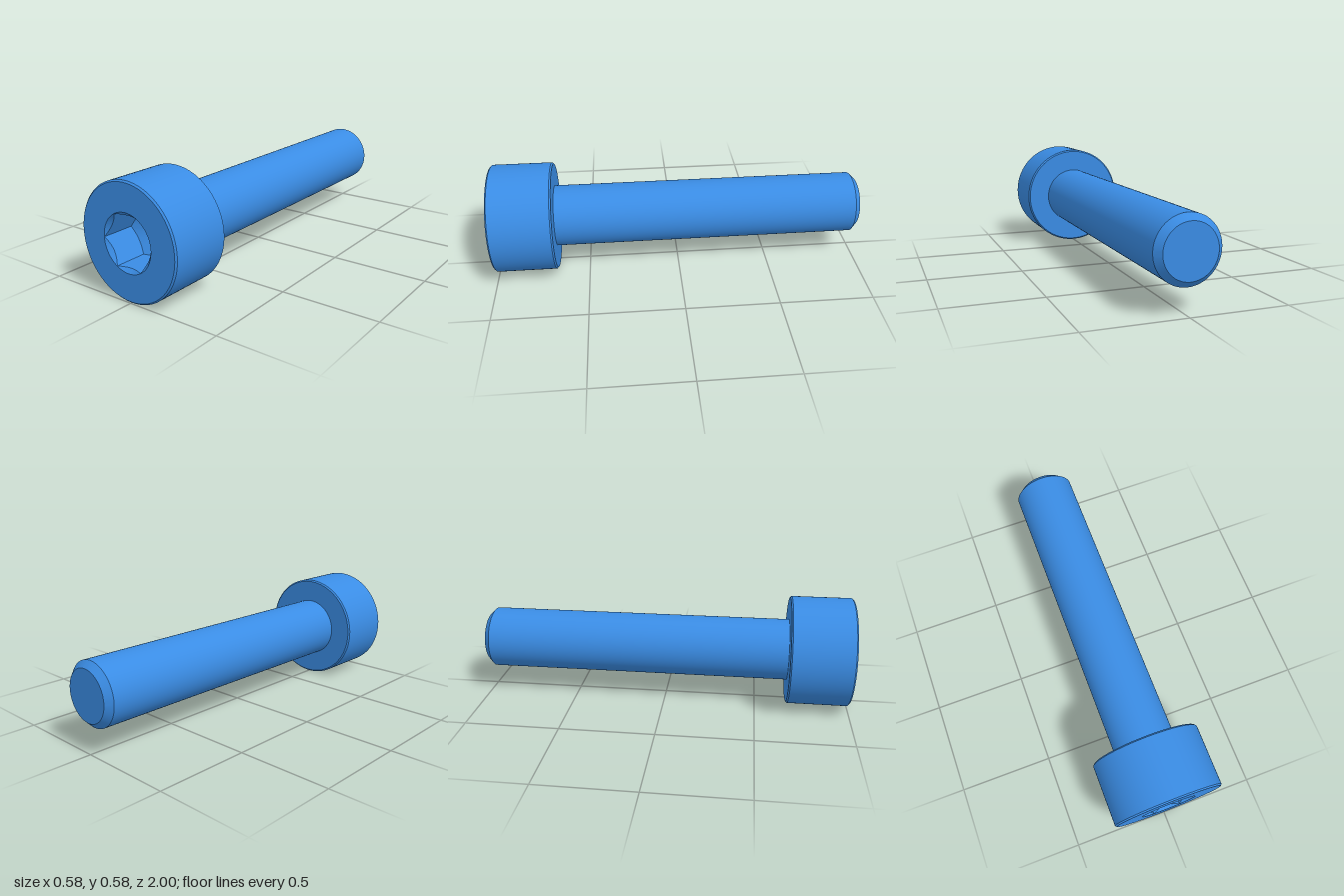
import * as THREE from 'three';
import { toCreasedNormals } from 'three/addons/utils/BufferGeometryUtils.js';

const AXIS_Y = 0.292;   // height of the bolt axis
const SEGMENTS = 96;    // multiple of 6, so the hexagon corners are exact
const RIM = 0.1455;     // round mouth of the socket
const HEX = 0.145;      // corner radius of the hexagon

// Turned part about the z axis; points are [radius, z] from back to front
function turned(points) {
  const profile = points.map(([r, z]) => new THREE.Vector2(r, z));
  const geometry = new THREE.LatheGeometry(profile, SEGMENTS).rotateX(Math.PI / 2);
  return toCreasedNormals(geometry, 0.3);
}

// Hexagonal recess: countersunk mouth, flat walls and drilled cone floor
function socketGeometry() {
  const hexRadius = (a) => {
    const sector = Math.PI / 3;
    return HEX * Math.cos(sector / 2) / Math.cos((a % sector) - sector / 2);
  };
  const floorZ = (r) => 0.833 - (HEX - r) * Math.tan(Math.PI / 6);
  const rings = [
    () => [RIM, 1],
    (a) => [hexRadius(a), 1 - (RIM - hexRadius(a))],
    (a) => [hexRadius(a), floorZ(hexRadius(a))],
    () => [0.013, floorZ(0.013)],
    () => [0, floorZ(0.013)],
  ];
  const point = (ring, i) => {
    const a = ((i % SEGMENTS) / SEGMENTS) * Math.PI * 2;
    const [r, z] = ring(a);
    return [r * Math.cos(a), r * Math.sin(a), z];
  };
  const positions = [];
  for (let k = 0; k < rings.length - 1; k++) {
    for (let i = 0; i < SEGMENTS; i++) {
      const a = point(rings[k], i), b = point(rings[k], i + 1);
      const c = point(rings[k + 1], i), d = point(rings[k + 1], i + 1);
      positions.push(...a, ...b, ...c);
      if (k < rings.length - 2) positions.push(...b, ...d, ...c);
    }
  }
  const geometry = new THREE.BufferGeometry();
  geometry.setAttribute('position', new THREE.Float32BufferAttribute(positions, 3));
  return toCreasedNormals(geometry, 0.3);
}

export function createModel() {
  const blue = new THREE.MeshStandardMaterial({ color: 0x3a8ce4 });
  blue.name = 'blue';

  const bolt = new THREE.Group();
  bolt.name = 'socketHeadBolt';
  const add = (name, geometry) => {
    const mesh = new THREE.Mesh(geometry, blue);
    mesh.name = name;
    mesh.position.y = AXIS_Y;
    bolt.add(mesh);
  };

  // Shank with chamfered tip
  add('shank', turned([[0, -1], [0.133, -1], [0.165, -0.968], [0.165, 0.667]]));

  // Head with fine chamfers on both rims, open at the socket
  add('head', turned([
    [0.165, 0.667], [0.284, 0.667], [0.292, 0.675],
    [0.292, 0.992], [0.284, 1], [RIM, 1],
  ]));

  add('hexSocket', socketGeometry());
  return bolt;
}
